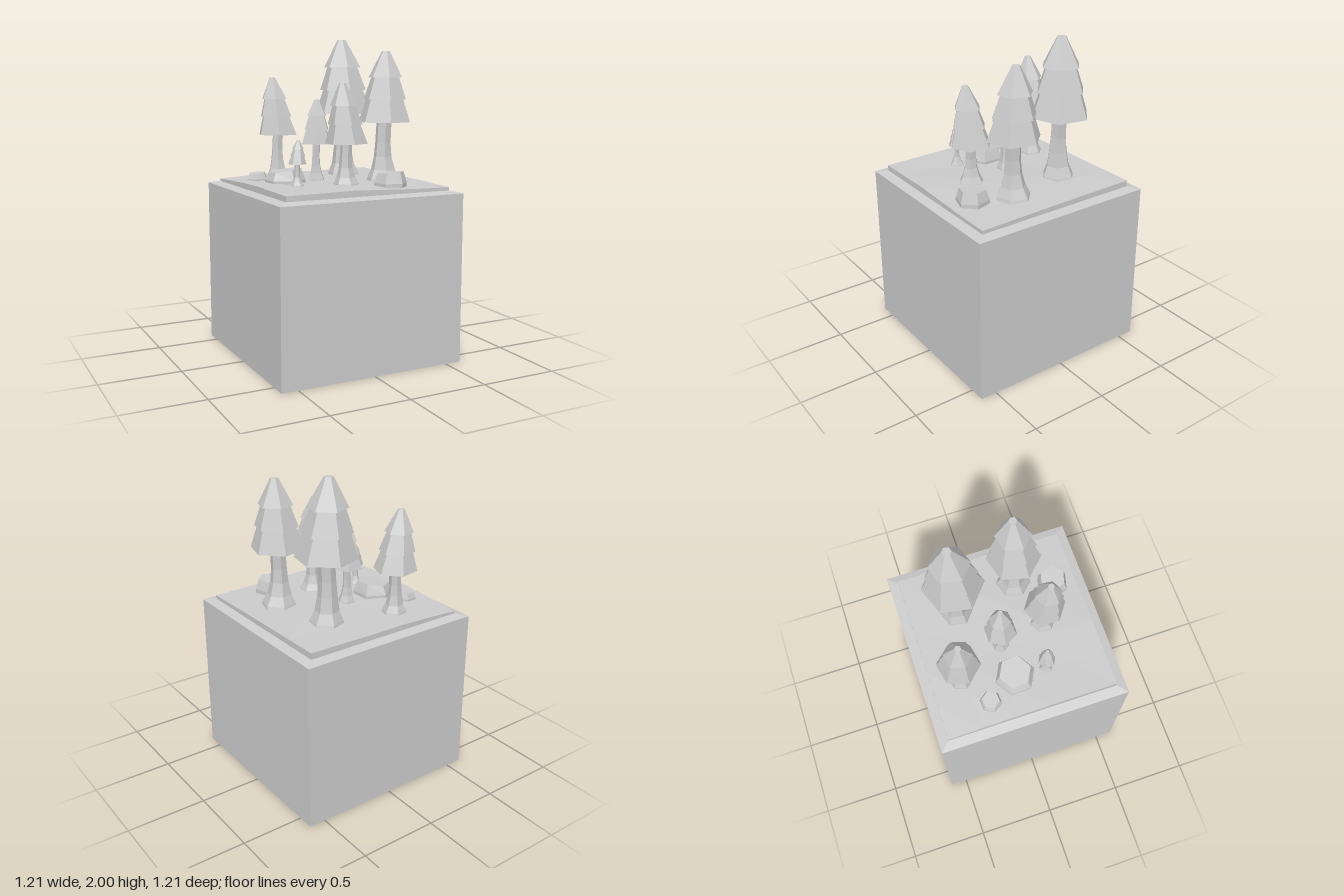
import * as THREE from 'three';

const GROUND = 1.105;
const rad = THREE.MathUtils.degToRad;
const material = new THREE.MeshStandardMaterial({ color: 0xcccccc, flatShading: true });

function part(name, geometry, parent) {
  const mesh = new THREE.Mesh(geometry, material);
  mesh.name = name;
  parent.add(mesh);
  return mesh;
}

// Moves every vertex by a rule
function reshape(geometry, rule) {
  const pos = geometry.attributes.position;
  const v = new THREE.Vector3();
  for (let i = 0; i < pos.count; i++) {
    rule(v.fromBufferAttribute(pos, i));
    pos.setXYZ(i, v.x, v.y, v.z);
  }
  geometry.computeVertexNormals();
  return geometry;
}

// Six-sided solid of revolution with a corner at the given angle (from +x towards +z)
function sixSided(profile, angle) {
  const points = profile.map(([r, y]) => new THREE.Vector2(r, y));
  return new THREE.LatheGeometry(points, 6, rad(90 - angle));
}

// Fir tree: flared, slightly bent trunk and a leaning crown of three tiers
function makeTree({ at, lean, r, base, top, angle, flare, stem }) {
  const tree = new THREE.Group();
  tree.name = 'tree';
  tree.position.set(at[0], GROUND, at[1]);

  const trunkH = base - GROUND;
  const crownH = top - base;
  const trunk = sixSided([
    [flare, -0.01], [flare * 0.92, trunkH * 0.05], [flare * 0.68, trunkH * 0.2],
    [stem * 1.15, trunkH * 0.42], [stem, trunkH * 0.65], [stem * 0.95, trunkH + crownH * 0.25],
  ], angle);
  reshape(trunk, (v) => {
    v.x -= stem * 0.15 * Math.sin((Math.max(v.y, 0) / trunkH) * Math.PI);
  });
  part('trunk', trunk, tree);

  const crown = sixSided([
    [0, crownH * 0.2], [r * 0.3, crownH * 0.18],
    [r, 0], [r * 0.7, crownH * 0.34],
    [r * 0.82, crownH * 0.32], [r * 0.52, crownH * 0.65],
    [r * 0.65, crownH * 0.63], [r * 0.15, crownH], [0, crownH],
  ], angle);
  reshape(crown, (v) => {
    const t = v.y / crownH;
    v.set(v.x + lean[0] * t, v.y + trunkH, v.z + lean[1] * t);
  });
  part('crown', crown, tree);
  return tree;
}

// Boulder with a sloping top
function makeRock({ at, r, height, angle, slope }) {
  const rock = sixSided([[r, -0.02], [r, height * 0.25], [r * 0.8, height], [0, height]], angle);
  reshape(rock, (v) => {
    if (v.y > height * 0.5) v.y += slope[0] * v.x + slope[1] * v.z;
  });
  rock.translate(at[0], GROUND, at[1]);
  return rock;
}

export function createModel() {
  const model = new THREE.Group();
  model.name = 'forestBlock';

  // Earth block with a shallow chamfer on top
  const block = part('earthBlock', new THREE.BoxGeometry(1.21, 1.06, 1.21), model);
  block.position.y = 0.53;
  const chamfer = new THREE.CylinderGeometry(0.545 * Math.SQRT2, 0.605 * Math.SQRT2, 0.015, 4, 1, true);
  chamfer.rotateY(Math.PI / 4).translate(0, 1.0675, 0);
  part('chamfer', chamfer, model);

  // Gently uneven turf, lower at two opposite corners
  const turf = new THREE.BoxGeometry(1.085, 0.05, 1.085, 5, 1, 5);
  turf.translate(0, 1.085, 0);
  reshape(turf, (v) => {
    if (v.y < 1.1) return;
    const corner = Math.max(0, (v.x * v.z) / 0.294);
    v.y += 0.003 * Math.sin(v.x * 9 + v.z * 5) - 0.018 * corner;
  });
  part('turf', turf, model);

  const trees = [
    { at: [0.228, -0.247], lean: [-0.012, -0.01], r: 0.19, base: 1.52, top: 2.0, angle: -20, flare: 0.11, stem: 0.053 },
    { at: [0.305, 0.157], lean: [0.012, -0.005], r: 0.168, base: 1.48, top: 1.92, angle: -15, flare: 0.115, stem: 0.05 },
    { at: [-0.204, -0.356], lean: [-0.037, 0.003], r: 0.134, base: 1.385, top: 1.755, angle: -12, flare: 0.08, stem: 0.037 },
    { at: [-0.01, 0.247], lean: [-0.035, 0.012], r: 0.13, base: 1.36, top: 1.725, angle: -25, flare: 0.085, stem: 0.037 },
    { at: [-0.068, -0.052], lean: [0.003, 0], r: 0.102, base: 1.34, top: 1.62, angle: 0, flare: 0.058, stem: 0.026 },
    { at: [-0.3, 0.165], lean: [0.006, 0], r: 0.055, base: 1.24, top: 1.385, angle: -32, flare: 0.046, stem: 0.017 },
  ];
  trees.forEach((t) => model.add(makeTree(t)));

  const rocks = [
    { at: [-0.295, -0.035], r: 0.127, height: 0.08, angle: -32, slope: [0.12, 0.05] },
    { at: [-0.405, -0.228], r: 0.069, height: 0.048, angle: -5, slope: [0.1, 0] },
    { at: [0.217, 0.39], r: 0.103, height: 0.082, angle: 15, slope: [0.05, 0.08] },
  ];
  rocks.forEach((r) => part('rock', makeRock(r), model));

  return model;
}
